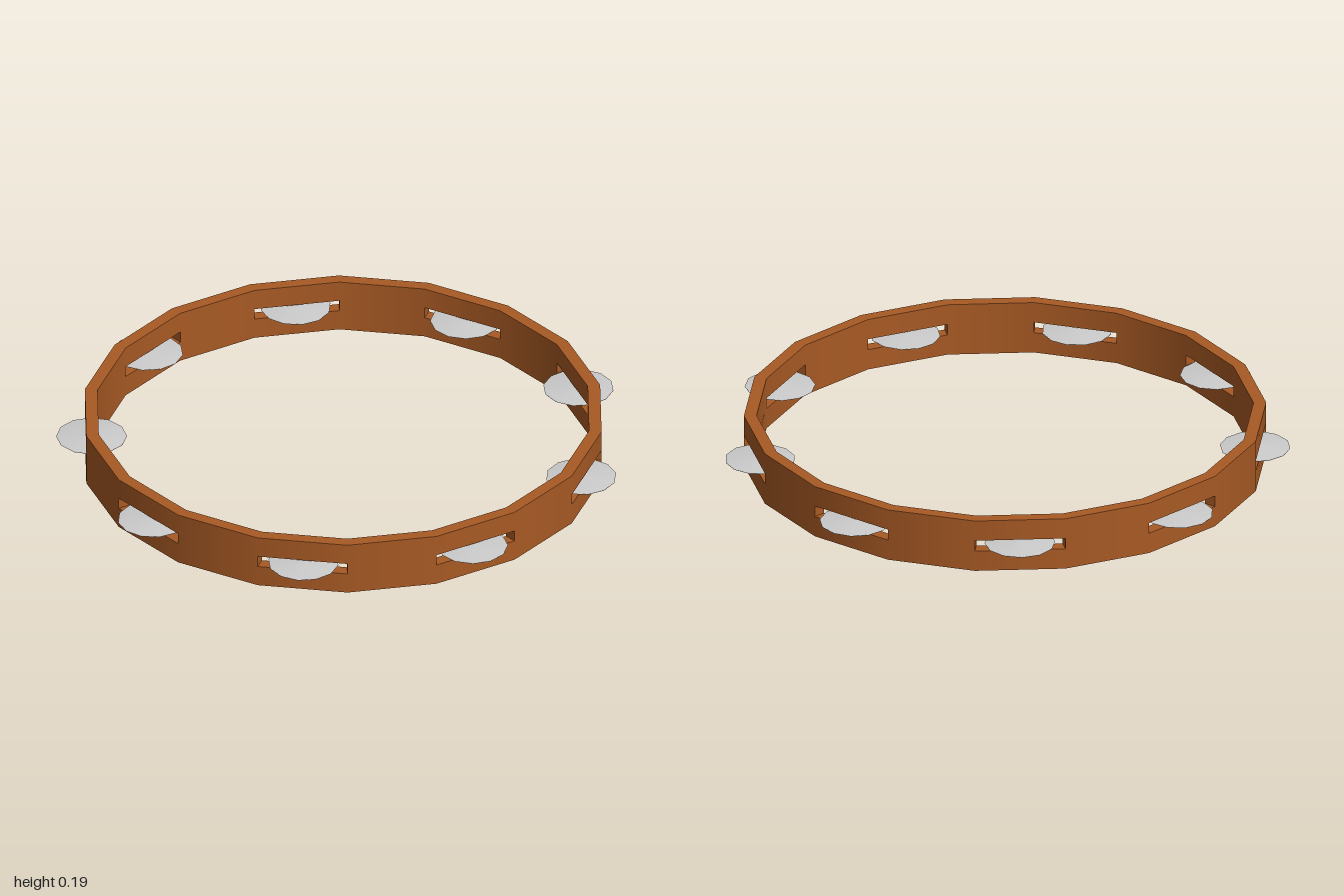
import * as THREE from 'three';
import { mergeGeometries } from 'three/addons/utils/BufferGeometryUtils.js';

const SIDES = 18, JINGLES = 9;
const OUTER = 0.925, INNER = 0.88, HEIGHT = 0.195;
const SLOT_LOW = 0.077, SLOT_HIGH = 0.118;
const STEP = (Math.PI * 2) / SIDES;
const CENTRE_Z = 0.027;

// One surface swept round the axis from profile point a to b; a counter-clockwise profile faces outward.
function sweep(a, b, start = STEP / 2, segments = SIDES) {
  return new THREE.LatheGeometry(
    [new THREE.Vector2(...a), new THREE.Vector2(...b)], segments, start, segments * STEP);
}

// Outer and inner wall between two heights
function walls(y0, y1, start, segments) {
  return [
    sweep([OUTER, y0], [OUTER, y1], start, segments),
    sweep([INNER, y1], [INNER, y0], start, segments),
  ];
}

// Radial end wall of a slot
function slotEnd(phi, flip) {
  const r = ((OUTER + INNER) / 2);
  return new THREE.PlaneGeometry(OUTER - INNER, SLOT_HIGH - SLOT_LOW)
    .rotateY(phi - Math.PI / 2 + (flip ? Math.PI : 0))
    .translate(r * Math.sin(phi), (SLOT_LOW + SLOT_HIGH) / 2, r * Math.cos(phi));
}

function createFrame() {
  const parts = [
    ...walls(0, SLOT_LOW),
    ...walls(SLOT_HIGH, HEIGHT),
    sweep([OUTER, HEIGHT], [INNER, HEIGHT]),
    sweep([INNER, 0], [OUTER, 0]),
  ];
  for (let i = 0; i < JINGLES; i++) {
    const slot = Math.PI - STEP / 2 + i * 2 * STEP; // slot facet, then a solid facet
    const block = slot + STEP;
    parts.push(
      sweep([OUTER, SLOT_LOW], [INNER, SLOT_LOW], slot, 1),
      sweep([INNER, SLOT_HIGH], [OUTER, SLOT_HIGH], slot, 1),
      ...walls(SLOT_LOW, SLOT_HIGH, block, 1),
      slotEnd(block, false),
      slotEnd(block + STEP, true),
    );
  }
  return mergeGeometries(parts);
}

export function createModel() {
  const model = new THREE.Group();
  model.name = 'tambourine';

  const wood = new THREE.MeshStandardMaterial({ color: 0xa85a24 });
  const metal = new THREE.MeshStandardMaterial({ color: 0xcccccc });

  // Slotted wooden hoop
  const frame = new THREE.Mesh(createFrame(), wood);
  frame.name = 'frame';
  frame.position.z = CENTRE_Z;
  model.add(frame);

  // Thin lens-shaped metal discs, one through each slot
  const profile = [[0, -0.011], [0.05, -0.008], [0.125, -0.001], [0.125, 0.001], [0.05, 0.008], [0, 0.011]];
  const disc = new THREE.LatheGeometry(profile.map(p => new THREE.Vector2(...p)), 12);
  const jingles = new THREE.Group();
  jingles.name = 'jingles';
  for (let i = 0; i < JINGLES; i++) {
    const phi = Math.PI + i * 2 * STEP;
    const jingle = new THREE.Mesh(disc, metal);
    jingle.name = 'jingle' + (i + 1);
    jingle.position.set(0.89 * Math.sin(phi), (SLOT_LOW + SLOT_HIGH) / 2, 0.89 * Math.cos(phi) + CENTRE_Z);
    jingle.rotation.y = phi;
    jingles.add(jingle);
  }
  model.add(jingles);
  return model;
}
